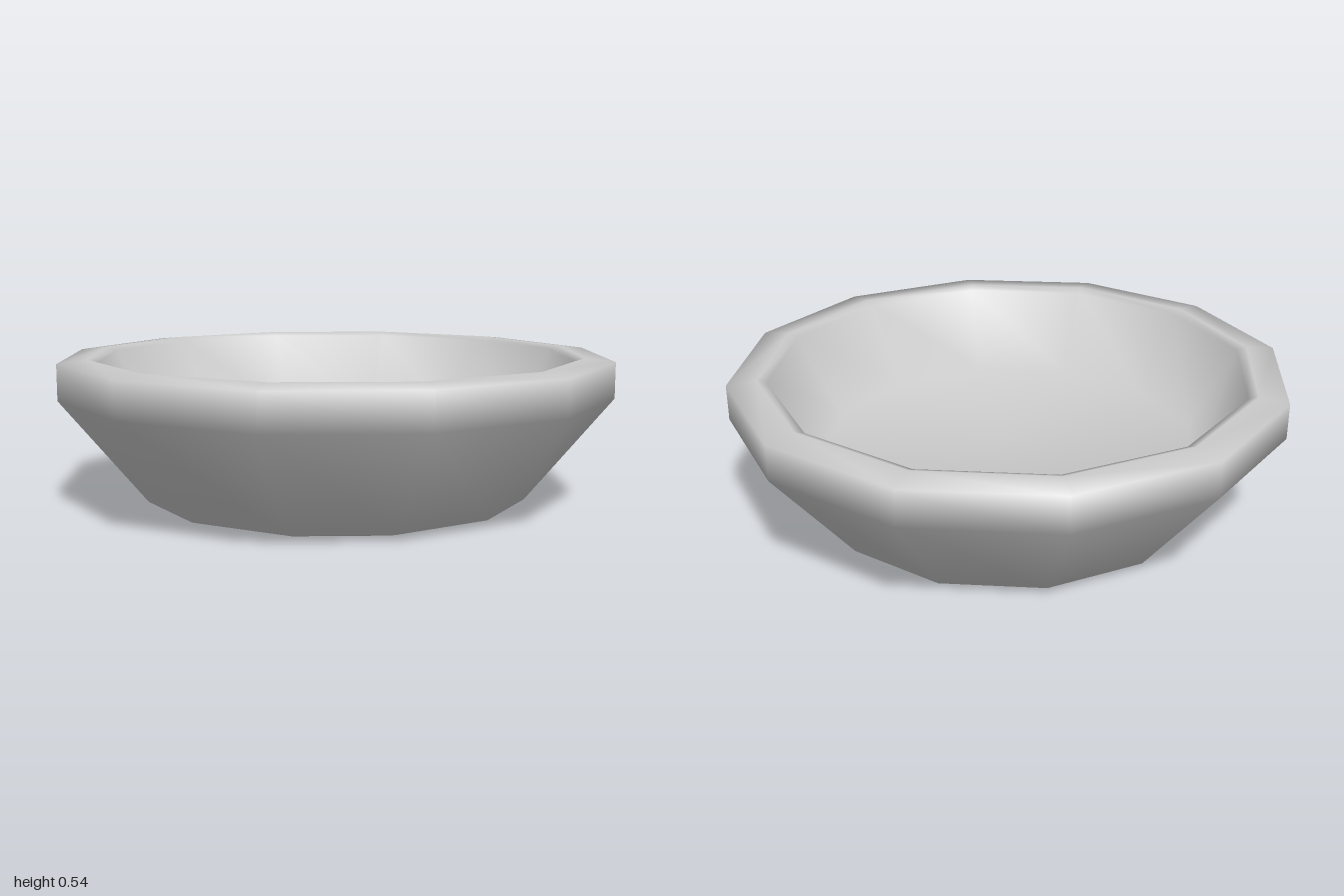
import * as THREE from 'three';

export function createModel() {
  const group = new THREE.Group();
  const material = new THREE.MeshStandardMaterial({ color: 0xcccccc });

  // Closed wall profile: underside, outer wall, rim, inner wall, floor
  const profile = [
    [0, 0], [0.62, 0.003], [0.695, 0.025],
    [1, 0.4], [1, 0.528], [0.895, 0.54], [0.86, 0.527],
    [0.69, 0.235], [0, 0.23],
  ].map(([r, y]) => new THREE.Vector2(r, y));

  // Twelve-sided bowl with smooth shading
  const bowl = new THREE.Mesh(new THREE.LatheGeometry(profile, 12), material);
  bowl.name = 'bowl';
  group.add(bowl);
  return group;
}
